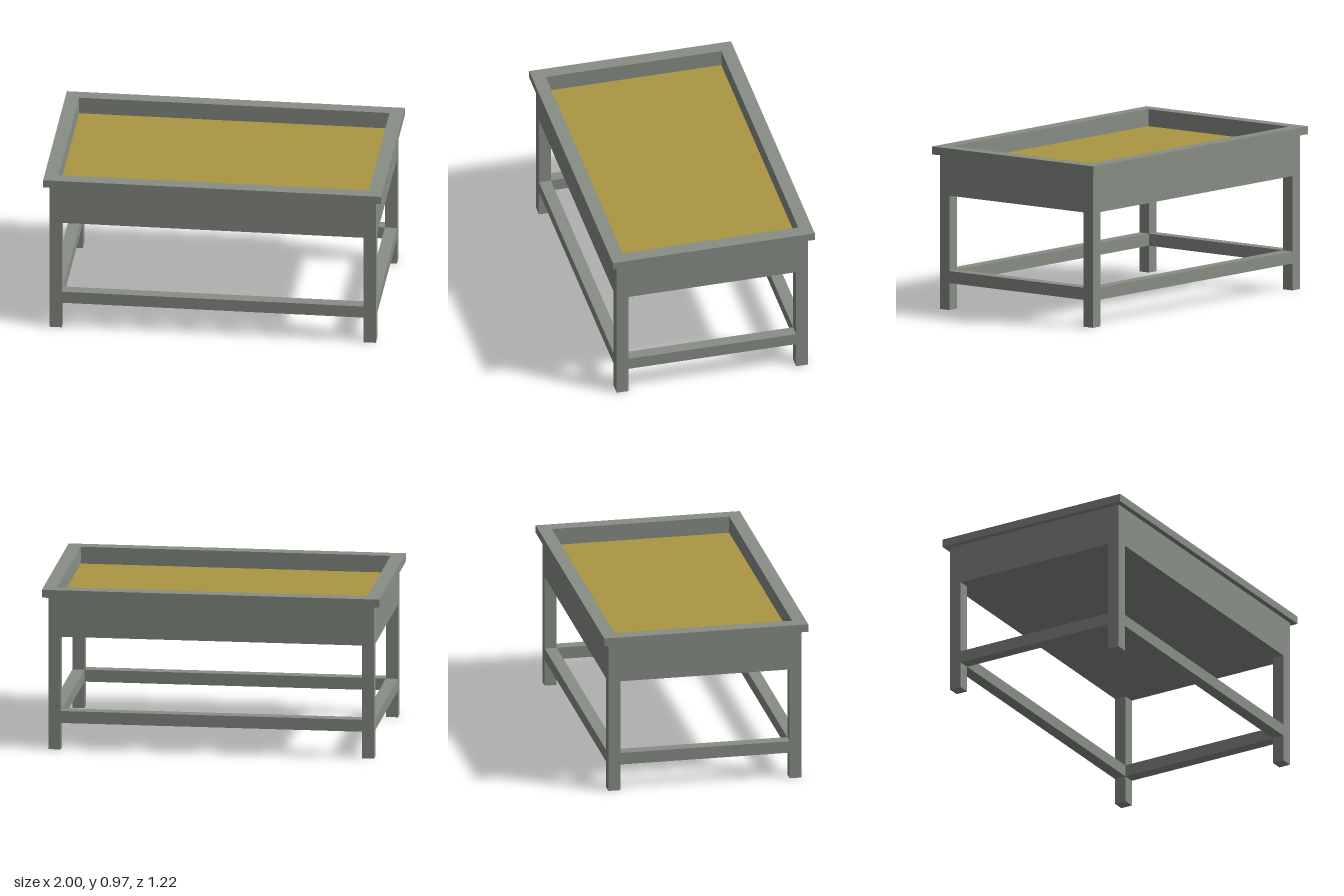
import * as THREE from 'three';

const paint = new THREE.MeshStandardMaterial({ color: 0x888e86 });
paint.name = 'grey paint';
const sandColour = new THREE.MeshStandardMaterial({ color: 0xac9643 });
sandColour.name = 'sand';

// Main dimensions: half widths (x), half depths (z) and heights
const RIM = { x: 1.0, z: 0.612 };
const BODY = { x: 0.965, z: 0.58 };
const INNER = { x: 0.918, z: 0.532 };
const TOP = 0.967, RIM_BOTTOM = 0.92, SAND_TOP = 0.866, BODY_BOTTOM = 0.68;
const LEG = 0.072;

function box(name, material, [w, h, d], [x, y, z]) {
  const mesh = new THREE.Mesh(new THREE.BoxGeometry(w, h, d), material);
  mesh.name = name;
  mesh.position.set(x, y, z);
  return mesh;
}

// Rectangular ring lying flat, from height y0 up to y1
function frame(name, outer, inner, y0, y1) {
  const corners = ({ x, z }) => [[-x, -z], [x, -z], [x, z], [-x, z]].map(p => new THREE.Vector2(...p));
  const shape = new THREE.Shape(corners(outer));
  shape.holes.push(new THREE.Path(corners(inner).reverse()));
  const geometry = new THREE.ExtrudeGeometry(shape, { depth: y1 - y0, bevelEnabled: false });
  geometry.rotateX(-Math.PI / 2).translate(0, y0, 0);
  const mesh = new THREE.Mesh(geometry, paint);
  mesh.name = name;
  return mesh;
}

export function createModel() {
  const model = new THREE.Group();
  model.name = 'sandTable';

  // Tray: overhanging rim, side walls, floor and sand filling
  const floorTop = BODY_BOTTOM + 0.03;
  model.add(
    frame('rim', RIM, INNER, RIM_BOTTOM, TOP),
    frame('trayWalls', BODY, INNER, BODY_BOTTOM, RIM_BOTTOM),
    box('trayFloor', paint, [INNER.x * 2, 0.03, INNER.z * 2], [0, BODY_BOTTOM + 0.015, 0]),
    box('sand', sandColour, [INNER.x * 2, SAND_TOP - floorTop, INNER.z * 2], [0, (SAND_TOP + floorTop) / 2, 0]),
  );

  // Legs flush with the tray corners, joined by stretchers
  const lx = BODY.x - LEG / 2, lz = BODY.z - LEG / 2;
  const railY = 0.196;
  for (const s of [-1, 1]) {
    for (const t of [-1, 1]) {
      const name = (t > 0 ? 'front' : 'back') + (s > 0 ? 'Left' : 'Right') + 'Leg';
      model.add(box(name, paint, [LEG, BODY_BOTTOM, LEG], [s * lx, BODY_BOTTOM / 2, t * lz]));
    }
    model.add(
      box(s > 0 ? 'frontStretcher' : 'backStretcher', paint, [2 * lx - LEG, LEG, LEG], [0, railY, s * lz]),
      box(s > 0 ? 'leftStretcher' : 'rightStretcher', paint, [LEG, LEG, 2 * lz - LEG], [s * lx, railY, 0]),
    );
  }
  return model;
}
